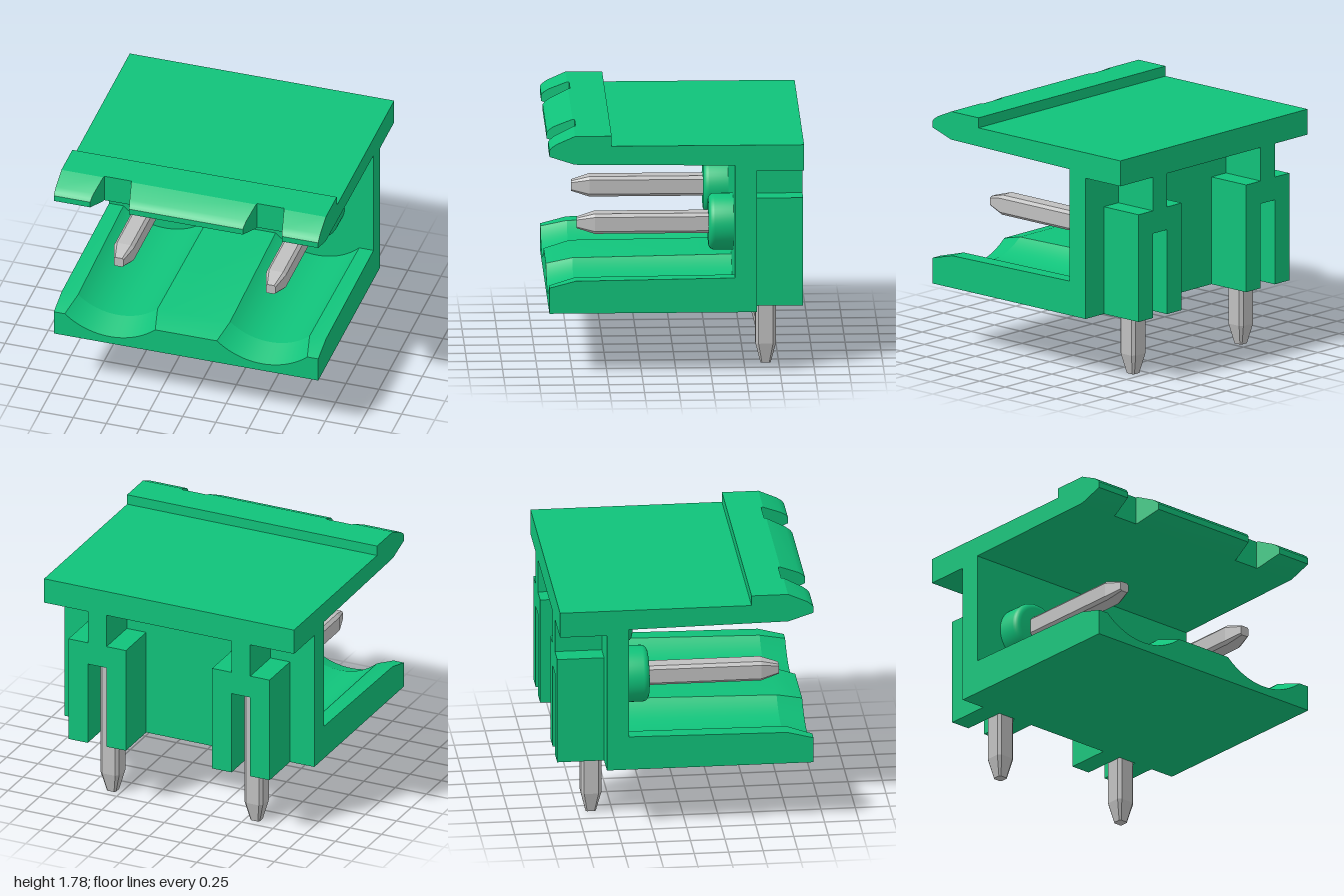
import * as THREE from 'three';
import { toCreasedNormals } from 'three/addons/utils/BufferGeometryUtils.js';

const PITCH = 0.575; // sideways position of each contact
const AXIS_Y = 1.045; // height of the contact axis

export function createModel() {
  const green = new THREE.MeshStandardMaterial({ color: 0x10c27a });
  green.name = 'green plastic';
  const metal = new THREE.MeshStandardMaterial({ color: 0xc0c0c0 });
  metal.name = 'tinned metal';
  const model = new THREE.Group();
  model.name = 'pinHeader';

  const add = (name, geometry, material, parent = model) => {
    const mesh = new THREE.Mesh(geometry, material);
    mesh.name = name;
    parent.add(mesh);
    return mesh;
  };
  const box = (name, x0, x1, y0, y1, z0, z1, parent) => {
    const mesh = add(name, new THREE.BoxGeometry(x1 - x0, y1 - y0, z1 - z0), green, parent);
    mesh.position.set((x0 + x1) / 2, (y0 + y1) / 2, (z0 + z1) / 2);
  };
  // Extrudes a [z, y] side profile from x0 to x1
  const sideExtrude = (profile, x0, x1) => {
    const shape = new THREE.Shape(profile.map(([z, y]) => new THREE.Vector2(z, y)));
    const g = new THREE.ExtrudeGeometry(shape, { depth: x1 - x0, bevelEnabled: false });
    return g.rotateY(-Math.PI / 2).translate(x1, 0, 0);
  };

  // Upper plate with raised step
  const plate = [[-0.92, 1.52], [-0.42, 1.52], [-0.42, 1.56], [0.72, 1.575], [0.72, 1.785],
    [0.47, 1.785], [0.47, 1.71], [-0.92, 1.71]];
  add('upperPlate', sideExtrude(plate, -1, 1), green);

  // Tapered lip in three pieces, leaving two flared latch notches
  const lip = [[0.72, 1.575], [0.74, 1.576], [0.92, 1.635], [0.92, 1.68], [0.905, 1.7],
    [0.87, 1.725], [0.735, 1.785], [0.72, 1.785]];
  for (const [x0, x1, flare0, flare1] of [[-1, -0.68, 0, -0.045], [-0.475, 0.475, 0.045, -0.045], [0.68, 1, 0.045, 0]]) {
    const g = sideExtrude(lip, x0, x1);
    const p = g.attributes.position;
    for (let i = 0; i < p.count; i++) {
      const x = p.getX(i);
      const flare = Math.abs(x - x0) < 1e-4 ? flare0 : flare1;
      p.setX(i, x + flare * (p.getZ(i) - 0.72) / 0.2);
    }
    add('upperLip', toCreasedNormals(g, 0.4), green);
  }

  // Back wall and grooved lower tray
  box('backWall', -1, 1, 0.47, 1.54, -0.58, -0.42);
  add('lowerTray', trayGeometry(), green);

  for (const side of [-1, 1]) {
    const contact = new THREE.Group();
    contact.name = side > 0 ? 'leftContact' : 'rightContact';
    contact.position.x = side * PITCH;
    model.add(contact);

    // Slotted housing behind the wall, joined to the plate by a rib
    box('housingArm', -0.23, -0.075, 0.47, 1.27, -0.92, -0.57, contact);
    box('housingArm', 0.075, 0.23, 0.47, 1.27, -0.92, -0.57, contact);
    box('housingRib', -0.075, 0.075, 1.1, 1.53, -0.92, -0.57, contact);

    // Rounded collar around the mating pin
    const profile = [[0.205, 0]];
    for (let i = 0; i <= 6; i++) {
      const a = (i / 6) * Math.PI / 2;
      profile.push([0.16 + 0.045 * Math.cos(a), 0.14 + 0.045 * Math.sin(a)]);
    }
    profile.push([0, 0.185]);
    const lathe = new THREE.LatheGeometry(profile.map(([r, h]) => new THREE.Vector2(r, h)), 48);
    const collar = add('collar', toCreasedNormals(lathe, 0.5), green, contact);
    collar.rotation.x = Math.PI / 2;
    collar.position.set(0, AXIS_Y, -0.425);

    // Bent pin: a mating leg forward and a solder leg down
    const mating = add('matingPin', pinGeometry(1.365, 0.13), metal, contact);
    mating.position.set(0, AXIS_Y, -0.655);
    const solder = add('solderPin', pinGeometry(1.1, 0.15), metal, contact);
    solder.rotation.x = Math.PI / 2;
    solder.position.set(0, 1.1, -0.655);
  }
  return model;
}

// Square pin with chamfered edges along +z, narrowing at the tip
function pinGeometry(length, tip) {
  const w = 0.074, c = 0.052;
  const outline = [[w, -c], [w, c], [c, w], [-c, w], [-w, c], [-w, -c], [-c, -w], [c, -w]];
  const shape = new THREE.Shape(outline.map(([x, y]) => new THREE.Vector2(x, y)));
  const g = new THREE.ExtrudeGeometry(shape, { depth: 1, steps: 2, bevelEnabled: false });
  const p = g.attributes.position;
  for (let i = 0; i < p.count; i++) {
    const t = p.getZ(i);
    const s = t > 0.9 ? 0.5 : 1;
    p.setXYZ(i, p.getX(i) * s, p.getY(i) * s, t > 0.9 ? length : t > 0.1 ? length - tip : 0);
  }
  g.computeVertexNormals();
  return g;
}

// Tray lofted from back to front; each station is [z, top height, groove radius]
function trayGeometry() {
  const stations = [[-0.58, 0.727, 0.45], [0.73, 0.71, 0.45], [0.92, 0.66, 0.515]];
  const segments = 28;
  const rings = stations.map(([z, top, r]) => {
    const ring = [[-1, 0.47], [1, 0.47], [1, top]];
    const half = Math.acos((AXIS_Y - top) / r);
    for (const cx of [PITCH, -PITCH]) {
      for (let i = 0; i <= segments; i++) {
        const a = half * (1 - 2 * i / segments);
        ring.push([cx + r * Math.sin(a), AXIS_Y - r * Math.cos(a)]);
      }
    }
    ring.push([-1, top]);
    return ring.map(([x, y]) => new THREE.Vector3(x, y, z));
  });
  const n = rings[0].length;
  const index = [];
  for (let k = 0; k < rings.length - 1; k++) {
    for (let i = 0; i < n; i++) {
      const a = k * n + i, b = k * n + (i + 1) % n;
      index.push(a, b, b + n, a, b + n, a + n);
    }
  }
  // End caps
  const cap = (k, flip) => {
    const flat = rings[k].map((v) => new THREE.Vector2(v.x, v.y));
    for (const [a, b, c] of THREE.ShapeUtils.triangulateShape(flat, [])) {
      index.push(k * n + a, k * n + (flip ? c : b), k * n + (flip ? b : c));
    }
  };
  cap(0, true);
  cap(rings.length - 1, false);
  const g = new THREE.BufferGeometry().setFromPoints(rings.flat());
  g.setIndex(index);
  return toCreasedNormals(g, 0.25);
}
